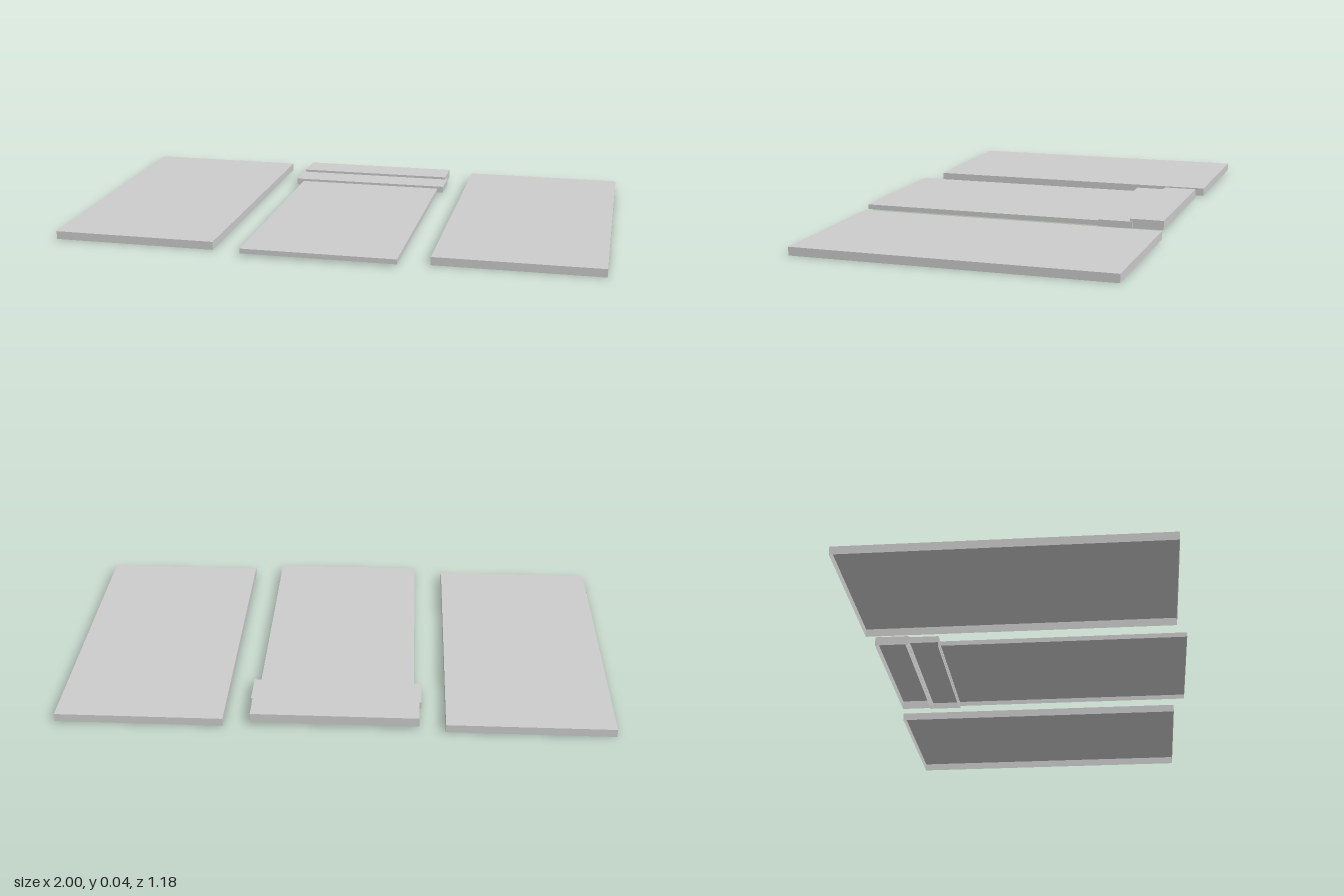
import * as THREE from 'three';

// Shallow tray: a box between two corners with its bottom face left out
function tray(name, material, [x0, y0, z0], [x1, y1, z1]) {
  const geometry = new THREE.BoxGeometry(x1 - x0, y1 - y0, z1 - z0);
  const index = Array.from(geometry.index.array);
  index.splice(18, 6); // bottom face
  geometry.setIndex(index);
  geometry.clearGroups();
  const mesh = new THREE.Mesh(geometry, material);
  mesh.name = name;
  mesh.position.set((x0 + x1) / 2, (y0 + y1) / 2, (z0 + z1) / 2);
  return mesh;
}

export function createModel() {
  const group = new THREE.Group();
  group.name = 'slabs';
  const grey = new THREE.MeshStandardMaterial({ color: 0xcccccc, side: THREE.DoubleSide });
  grey.name = 'light grey';

  group.add(
    // Large panels on either side
    tray('rightPanel', grey, [-1, 0, -0.59], [-0.398, 0.03, 0.55]),
    tray('leftPanel', grey, [0.395, 0, -0.59], [1, 0.03, 0.55]),
    // Thin middle slab, with two steps rising at its back end
    tray('middleSlab', grey, [-0.285, 0.008, -0.34], [0.283, 0.026, 0.59]),
    tray('lowerStep', grey, [-0.312, 0.01, -0.46], [0.307, 0.035, -0.334]),
    tray('upperStep', grey, [-0.304, 0.01, -0.575], [0.299, 0.044, -0.45]),
  );
  return group;
}
